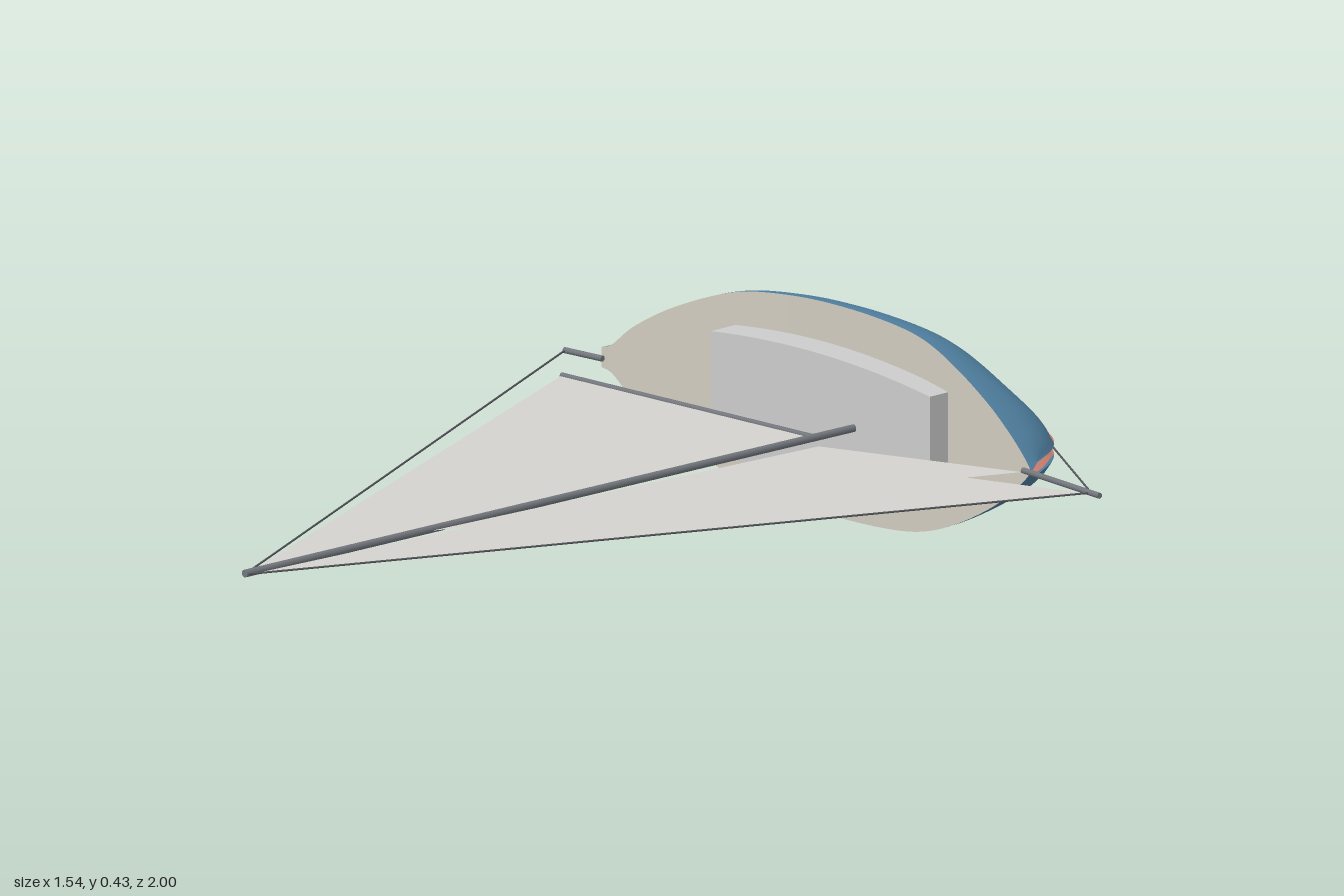
import * as THREE from 'three';

const MID = 0.215;      // height of the boat's centre plane
const WATER = -0.8;     // z where the bottom paint starts
const mat = (color) => new THREE.MeshStandardMaterial({ color, side: THREE.DoubleSide, roughness: 0.8 });

// Hull stations: x, half beam, deck edge z, canoe-body bottom z, keel bottom z
const STATIONS = [
  [-0.68, 0.02, -0.68, -0.81, -0.84],
  [-0.655, 0.03, -0.685, -0.825, -0.89],
  [-0.6, 0.075, -0.69, -0.845, -0.95],
  [-0.5, 0.13, -0.7, -0.87, -0.997],
  [-0.35, 0.185, -0.712, -0.885, -1.0],
  [-0.2, 0.207, -0.712, -0.895, -0.995],
  [-0.05, 0.213, -0.706, -0.9, -0.983],
  [0.1, 0.207, -0.697, -0.895, -0.955],
  [0.2, 0.191, -0.69, -0.88, -0.925],
  [0.3, 0.155, -0.677, -0.855, -0.883],
  [0.4, 0.105, -0.663, -0.825, -0.835],
  [0.47, 0.06, -0.652, -0.765, -0.77],
  [0.515, 0.024, -0.645, -0.69, -0.695],
  [0.54, 0, -0.64, -0.64, -0.641],
];
const spline = (a, b, c) => new THREE.CatmullRomCurve3(
  STATIONS.map((s) => new THREE.Vector3(s[a], s[b], s[c])), false, 'catmullrom', 0.5);
const upper = spline(0, 1, 2);
const lower = spline(0, 3, 4);

function station(t) {
  const u = upper.getPoint(t), l = lower.getPoint(t);
  return { x: u.x, half: Math.max(0, u.y), sheer: u.z, body: l.y, keel: Math.max(-1, l.z) };
}

// Half width of a section at depth z: rounded body running into a thin keel
function halfWidth(s, z) {
  const k = Math.min(0.012, s.half);
  const f = THREE.MathUtils.clamp((s.sheer - z) / Math.max(1e-4, s.sheer - s.body), 0, 1);
  return k + (s.half - k) * Math.pow(1 - f * f, 0.65);
}

// Surface from a rule (u, v) -> [x, y, z]
function sheet(nu, nv, rule, flip) {
  const pos = [], idx = [];
  for (let i = 0; i <= nu; i++)
    for (let j = 0; j <= nv; j++) pos.push(...rule(i / nu, j / nv));
  for (let i = 0; i < nu; i++)
    for (let j = 0; j < nv; j++) {
      const a = i * (nv + 1) + j, b = a + nv + 1;
      if (flip) idx.push(a, a + 1, b, b, a + 1, b + 1);
      else idx.push(a, b, a + 1, b, b + 1, a + 1);
    }
  const g = new THREE.BufferGeometry();
  g.setAttribute('position', new THREE.Float32BufferAttribute(pos, 3));
  g.setIndex(idx);
  g.computeVertexNormals();
  return g;
}

export function createModel() {
  const group = new THREE.Group();
  const add = (name, geometry, material) => {
    const m = new THREE.Mesh(geometry, material);
    m.name = name;
    group.add(m);
    return m;
  };
  const blue = mat(0x4f7f9f), red = mat(0xc47a6c), tan = mat(0xd0cbbf);
  const grey = mat(0xcccccc), sail = mat(0xd4d2cd), spar = mat(0x73777d), wire = mat(0x55585c);

  // Depth of a point on the topsides, the round of the bottom and the keel
  const line = (s) => Math.max(WATER, s.keel);
  const topZ = (s, v) => THREE.MathUtils.lerp(s.sheer, line(s), v);
  const turn = (s) => Math.min(line(s), s.body);
  const bottomZ = (s, v) => THREE.MathUtils.lerp(line(s), turn(s), Math.sin(v * Math.PI / 2));
  const keelZ = (s, v) => THREE.MathUtils.lerp(turn(s), Math.min(turn(s), s.keel), v);

  // Hull sides, mirrored about the centre plane
  for (const side of [1, -1]) {
    const label = side > 0 ? 'upper' : 'lower';
    const skin = (zRule) => (u, v) => {
      const s = station(u), z = zRule(s, v);
      return [s.x, MID + side * halfWidth(s, z), z];
    };
    add(label + 'Topside', sheet(90, 10, skin(topZ), side < 0), blue);
    add(label + 'Bottom', sheet(90, 14, skin(bottomZ), side < 0), red);
    add(label + 'Keel', sheet(90, 3, skin(keelZ), side < 0), red);
  }

  // Flat transom, painted like the sides
  const stern = station(0);
  const across = (zRule) => (u, v) => {
    const z = zRule(stern, v);
    return [stern.x, MID + (1 - 2 * u) * halfWidth(stern, z), z];
  };
  add('transom', sheet(2, 8, across(topZ), true), blue);
  add('transomBottom', sheet(2, 6, across(bottomZ), true), red);

  // Deck spanning the sheer lines
  add('deck', sheet(90, 2, (u, v) => {
    const s = station(u);
    return [s.x, MID + (1 - 2 * v) * s.half, s.sheer];
  }, true), tan);

  // Cabin with bowed sides and a slightly sloping roof
  const plan = new THREE.Shape();
  plan.moveTo(-0.345, -0.12);
  plan.quadraticCurveTo(-0.03, -0.152, 0.27, -0.103);
  plan.lineTo(0.27, 0.103);
  plan.quadraticCurveTo(-0.03, 0.152, -0.345, 0.12);
  const cabin = new THREE.ExtrudeGeometry(plan, { depth: 1, bevelEnabled: false, curveSegments: 16 });
  const p = cabin.attributes.position;
  for (let i = 0; i < p.count; i++)
    p.setZ(i, p.getZ(i) > 0.5 ? -0.645 + (p.getX(i) + 0.345) * 0.023 : -0.72);
  cabin.computeVertexNormals();
  add('cabin', cabin, grey).position.y = MID;

  // Round bars on the centre plane, from [x, z] to [x, z]
  const bar = (name, [x0, z0], [x1, z1], radius, material, sides = 10) => {
    const a = new THREE.Vector3(x0, MID, z0), b = new THREE.Vector3(x1, MID, z1);
    const m = add(name, new THREE.CylinderGeometry(radius, radius, a.distanceTo(b), sides), material);
    m.position.copy(a).lerp(b, 0.5);
    m.quaternion.setFromUnitVectors(new THREE.Vector3(0, 1, 0), b.sub(a).normalize());
  };
  bar('mast', [0.056, -0.65], [0.012, 0.999], 0.008, spar);
  bar('boom', [-0.635, -0.525], [0.045, -0.531], 0.006, spar);
  bar('bowsprit', [0.52, -0.637], [0.765, -0.602], 0.006, spar);
  bar('sternSpar', [-0.67, -0.673], [-0.77, -0.668], 0.006, spar);
  bar('backstay', [-0.768, -0.668], [0.012, 0.995], 0.002, wire, 6);
  bar('forestay', [0.735, -0.604], [0.02, 0.995], 0.002, wire, 6);
  bar('bobstay', [0.74, -0.605], [0.435, -0.805], 0.002, wire, 6);

  // Triangular sails, thin sheets lying in the centre plane
  const addSail = (name, corners, offset) => {
    const g = new THREE.BufferGeometry().setFromPoints(
      corners.map(([x, z]) => new THREE.Vector3(x, MID + offset, z)));
    g.setIndex([0, 1, 2]);
    g.computeVertexNormals();
    add(name, g, sail);
  };
  addSail('mainsail', [[-0.635, -0.526], [0.015, 0.99], [0.05, -0.53]], 0);
  addSail('staysail', [[0.11, -0.485], [0.038, 0.51], [0.53, -0.622]], 0.001);
  addSail('jib', [[0.12, -0.411], [0.022, 0.985], [0.733, -0.6]], -0.001);

  return group;
}
